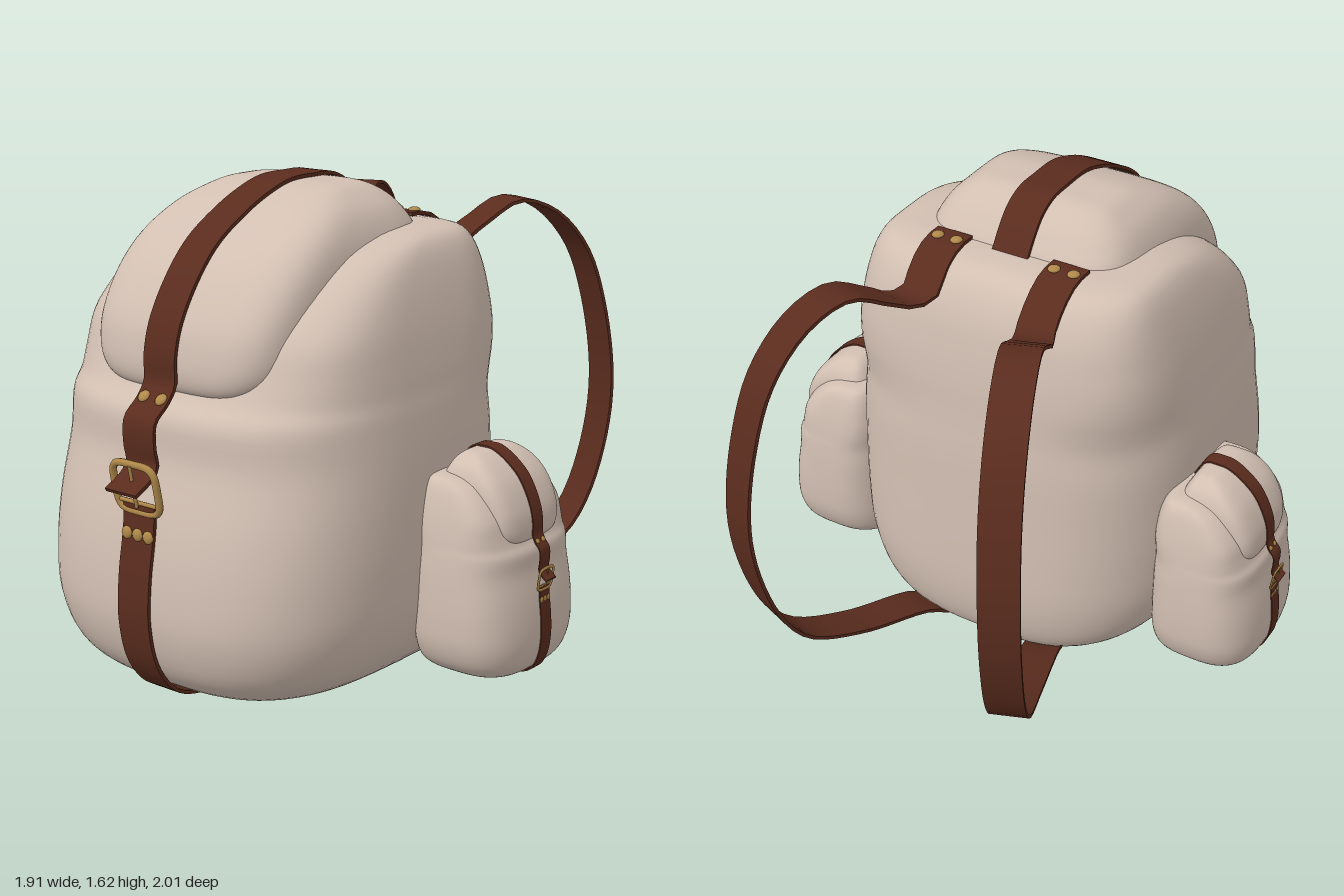
import * as THREE from 'three';
import { toCreasedNormals } from 'three/addons/utils/BufferGeometryUtils.js';

const fabric = new THREE.MeshStandardMaterial({ color: 0xd2bfb2 });
const leather = new THREE.MeshStandardMaterial({ color: 0x5a2c1e });
const brass = new THREE.MeshStandardMaterial({ color: 0xb0894a });

function add(parent, name, geometry, material) {
  const mesh = new THREE.Mesh(geometry, material);
  mesh.name = name;
  parent.add(mesh);
  return mesh;
}

// Skin a list of closed rings and cap both ends
function loft(rings) {
  const n = rings[0].length, last = rings.length - 1;
  const points = rings.flat(), index = [];
  for (let i = 0; i < last; i++) {
    for (let j = 0; j < n; j++) {
      const a = i * n + j, b = i * n + (j + 1) % n;
      index.push(a, b, b + n, a, b + n, a + n);
    }
  }
  for (const end of [0, last]) {
    const centre = points.length;
    points.push(rings[end].reduce((s, p) => s.add(p), new THREE.Vector3()).divideScalar(n));
    for (let j = 0; j < n; j++) {
      const a = end * n + j, b = end * n + (j + 1) % n;
      if (end) index.push(a, b, centre); else index.push(b, a, centre);
    }
  }
  const geo = new THREE.BufferGeometry().setFromPoints(points);
  geo.setIndex(index);
  geo.computeVertexNormals();
  return geo;
}

// Soft stuffed form from rows of [y, half width, back z, front z]
function pillow(rows, power) {
  const outline = new THREE.SplineCurve(rows.map(r => new THREE.Vector2(r[0], r[1])));
  const depth = new THREE.SplineCurve(rows.map(r => new THREE.Vector2(r[2], r[3])));
  const steps = (rows.length - 1) * 4, rings = [];
  for (let i = 0; i <= steps; i++) {
    const o = outline.getPoint(i / steps), d = depth.getPoint(i / steps);
    const e = 2 / power(o.x), ring = [];
    const bend = v => Math.sign(v) * Math.abs(v) ** e;
    for (let j = 0; j < 72; j++) {
      const a = j / 72 * Math.PI * 2;
      ring.push(new THREE.Vector3(o.y * bend(Math.sin(a)), o.x,
        (d.x + d.y) / 2 + (d.y - d.x) / 2 * bend(Math.cos(a))));
    }
    rings.push(ring);
  }
  return loft(rings);
}

// Flat band along a path; sideAt(t) gives the direction of its width
function band(points, steps, sideAt = () => new THREE.Vector3(1, 0, 0), width = 0.13, thick = 0.012) {
  const curve = new THREE.CatmullRomCurve3(points), rings = [];
  for (let i = 0; i <= steps; i++) {
    const t = i / steps, p = curve.getPointAt(t), side = sideAt(t).normalize();
    const normal = curve.getTangentAt(t).cross(side).normalize();
    rings.push([[1, 1], [-1, 1], [-1, -1], [1, -1]].map(([u, v]) =>
      p.clone().addScaledVector(side, u * width / 2).addScaledVector(normal, v * thick / 2)));
  }
  return toCreasedNormals(loft(rings), 0.8);
}

function rivet(parent, x, y, z, tilt) {
  const m = add(parent, 'rivet', new THREE.SphereGeometry(0.021, 14, 8), brass);
  m.position.set(x, y, z);
  m.rotation.x = tilt;
  m.scale.z = 0.5;
}

// Bag with lid, front strap and buckle, facing +z
function bag(name) {
  const g = new THREE.Group();
  g.name = name;
  add(g, 'body', pillow([
    [0.012, 0.25, -0.12, 0.55], [0.02, 0.36, -0.22, 0.70], [0.06, 0.47, -0.31, 0.82],
    [0.14, 0.56, -0.355, 0.90], [0.28, 0.615, -0.375, 0.94], [0.45, 0.63, -0.375, 0.935],
    [0.62, 0.63, -0.37, 0.905], [0.80, 0.622, -0.365, 0.855], [0.93, 0.61, -0.355, 0.845],
    [1.00, 0.60, -0.35, 0.79], [1.08, 0.59, -0.345, 0.745], [1.20, 0.57, -0.33, 0.685],
    [1.32, 0.54, -0.305, 0.56], [1.41, 0.505, -0.26, 0.40], [1.455, 0.46, -0.20, 0.22],
    [1.468, 0.38, -0.12, 0.08]], y => 3 + THREE.MathUtils.smoothstep(y, 0.9, 1.2)), fabric);
  add(g, 'lid', pillow([
    [1.00, 0.22, 0.30, 0.74], [1.01, 0.29, 0.20, 0.78], [1.05, 0.35, 0.10, 0.80],
    [1.12, 0.385, 0, 0.80], [1.22, 0.392, 0, 0.775], [1.34, 0.392, -0.05, 0.70],
    [1.44, 0.375, -0.10, 0.605], [1.52, 0.335, -0.05, 0.48], [1.57, 0.28, 0, 0.37],
    [1.60, 0.22, 0.06, 0.27], [1.607, 0.12, 0.10, 0.20]], () => 4.5), fabric);

  // Front strap in two lengths, given as [z, y]
  const path = list => list.map(([z, y]) => new THREE.Vector3(0, y, z));
  add(g, 'upperStrap', band(path([
    [-0.115, 1.45], [-0.062, 1.527], [-0.01, 1.58], [0.06, 1.61], [0.15, 1.614], [0.27, 1.61],
    [0.38, 1.578], [0.49, 1.528], [0.615, 1.45], [0.71, 1.348], [0.787, 1.22], [0.813, 1.12],
    [0.815, 1.04], [0.85, 0.99], [0.905, 0.94], [0.91, 0.86], [0.90, 0.80], [0.93, 0.765],
    [0.997, 0.73]]), 80), leather);
  add(g, 'lowerStrap', band(path([
    [0.915, 0.68], [0.918, 0.62], [0.928, 0.55], [0.945, 0.45], [0.952, 0.30], [0.915, 0.15],
    [0.83, 0.05], [0.70, 0.012], [0.50, 0.006], [0.20, 0.006]]), 50), leather);
  for (const x of [-0.036, 0.036]) rivet(g, x, 1.0, 0.85, -0.8);
  for (const x of [-0.045, 0, 0.045]) rivet(g, x, 0.58, 0.93, 0);

  // Buckle: rounded frame, cross bar and prong
  const buckle = new THREE.Group();
  buckle.name = 'buckle';
  buckle.position.set(0, 0.73, 0.93);
  buckle.rotation.x = 0.2;
  g.add(buckle);
  const loop = [];
  for (let i = 0; i < 32; i++) {
    const a = i / 32 * Math.PI * 2, bend = v => Math.sign(v) * Math.abs(v) ** 0.45;
    loop.push(new THREE.Vector3(0.09 * bend(Math.cos(a)), 0.082 * bend(Math.sin(a)), 0));
  }
  add(buckle, 'buckleFrame',
    new THREE.TubeGeometry(new THREE.CatmullRomCurve3(loop, true), 64, 0.012, 8, true), brass);
  const bar = add(buckle, 'buckleBar', new THREE.CylinderGeometry(0.007, 0.007, 0.18, 8), brass);
  bar.rotation.z = Math.PI / 2;
  bar.position.y = -0.05;
  const prong = add(buckle, 'prong', new THREE.CylinderGeometry(0.006, 0.006, 0.14, 8), brass);
  prong.position.set(0, 0.01, 0.012);
  return g;
}

export function createModel() {
  const model = new THREE.Group();
  model.name = 'backpack';
  const pack = bag('mainBag');
  pack.position.x = -0.012;
  model.add(pack);

  for (const s of [-1, 1]) {
    // Side pockets repeat the main bag at a smaller size
    const pocket = bag(s > 0 ? 'leftPocket' : 'rightPocket');
    pocket.position.set(s * 0.653, 0.085, 0.065);
    pocket.rotation.y = s * Math.PI / 2;
    pocket.scale.set(0.43, 0.447, 0.3);
    pack.add(pocket);

    // Shoulder straps flare outwards behind and meet under the base
    const points = [
      [0.215, 1.476, -0.09], [0.215, 1.473, -0.17], [0.215, 1.43, -0.25], [0.215, 1.365, -0.31],
      [0.24, 1.36, -0.37], [0.275, 1.41, -0.46], [0.325, 1.475, -0.59], [0.38, 1.43, -0.73],
      [0.43, 1.29, -0.86], [0.46, 1.08, -0.94], [0.48, 0.80, -0.98], [0.473, 0.58, -0.96],
      [0.445, 0.36, -0.89], [0.41, 0.24, -0.80], [0.335, 0.15, -0.60], [0.25, 0.085, -0.34],
      [0.21, 0.025, -0.23], [0.15, 0.007, -0.08], [0.06, 0.006, 0.10], [0.01, 0.006, 0.25],
    ].map(([x, y, z]) => new THREE.Vector3(s * x, y, z));
    add(pack, s > 0 ? 'leftShoulderStrap' : 'rightShoulderStrap', band(points, 64,
      t => new THREE.Vector3(1, 0, s * 0.38 * THREE.MathUtils.smoothstep(t, 0.06, 0.14))), leather);
    for (const dx of [-0.035, 0.035]) rivet(pack, s * 0.215 + dx, 1.483, -0.14, -Math.PI / 2);
  }
  return model;
}
